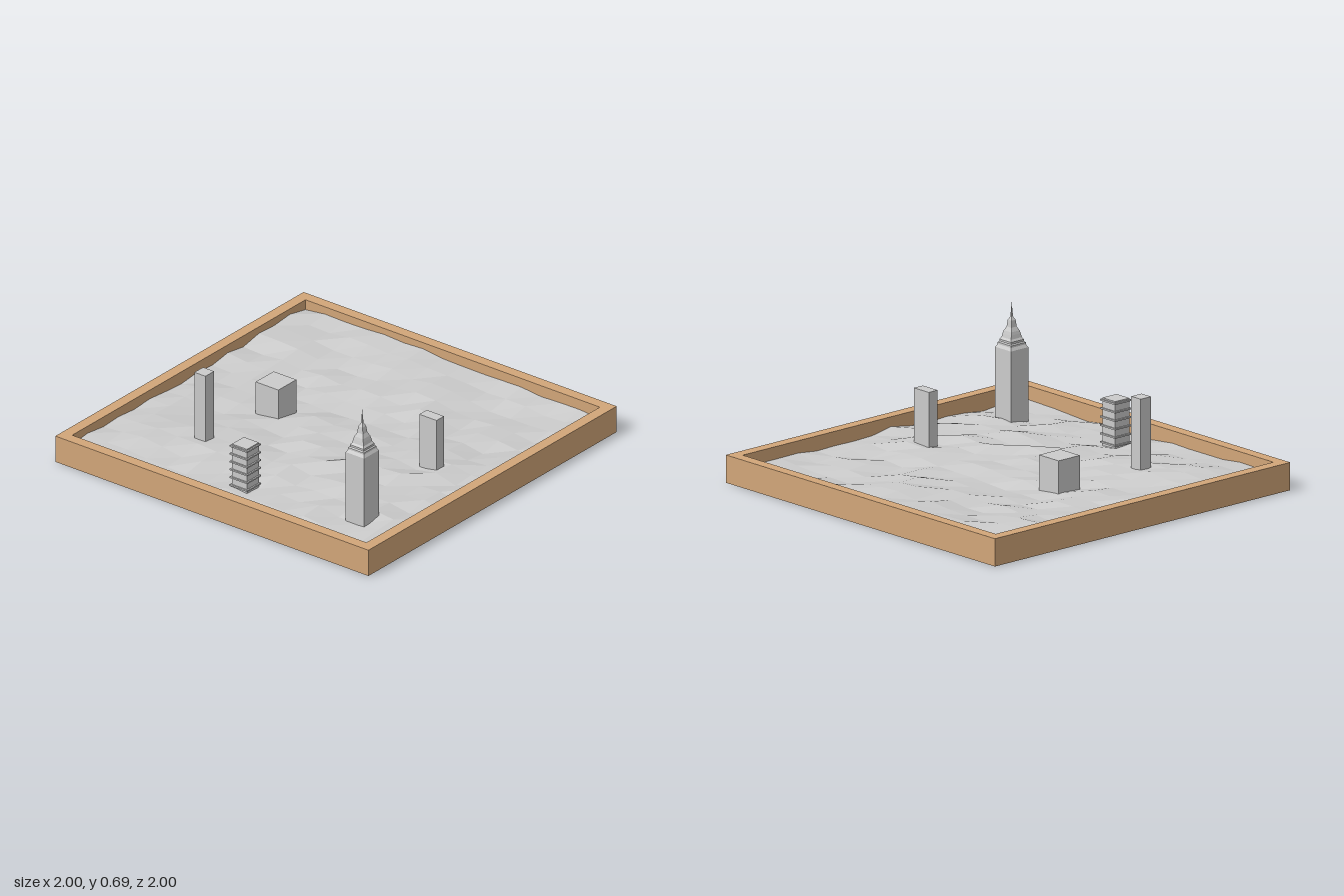
import * as THREE from 'three';

const wood = new THREE.MeshStandardMaterial({ color: 0xd2a679, flatShading: true });
const grey = new THREE.MeshStandardMaterial({ color: 0xcccccc, flatShading: true });
const ground = new THREE.MeshStandardMaterial({ color: 0xcccccc, flatShading: true, side: THREE.DoubleSide });

const FRAME_H = 0.145, INNER = 0.94, FOOT = 0.03;

function part(parent, name, geometry, material, x = 0, y = 0, z = 0) {
  const mesh = new THREE.Mesh(geometry, material);
  mesh.name = name;
  mesh.position.set(x, y, z);
  parent.add(mesh);
  return mesh;
}

// Box given by its footprint and its bottom and top heights
function block(parent, name, x, z, w, d, y0, y1, material = grey) {
  return part(parent, name, new THREE.BoxGeometry(w, y1 - y0, d), material, x, (y0 + y1) / 2, z);
}

// Four-sided stepped solid from [half width, height] pairs
function squareLathe(profile) {
  const pts = profile.map(([r, y]) => new THREE.Vector2(r * Math.SQRT2, y));
  return new THREE.LatheGeometry(pts, 4, Math.PI / 4);
}

function seeded(seed) {
  return () => {
    seed = (seed * 16807) % 2147483647;
    return seed / 2147483647;
  };
}

// Wooden tray: square rim with a closed floor
function buildTray(parent) {
  const shape = new THREE.Shape();
  shape.moveTo(-1, -1).lineTo(1, -1).lineTo(1, 1).lineTo(-1, 1).closePath();
  const hole = new THREE.Path();
  hole.moveTo(-INNER, -INNER).lineTo(-INNER, INNER).lineTo(INNER, INNER).lineTo(INNER, -INNER).closePath();
  shape.holes.push(hole);
  const rim = new THREE.ExtrudeGeometry(shape, { depth: FRAME_H, bevelEnabled: false });
  rim.rotateX(-Math.PI / 2);
  part(parent, 'trayRim', rim, wood);
  block(parent, 'trayFloor', 0, 0, 2 * INNER, 2 * INNER, 0, 0.02, wood);
}

// Faceted rolling ground, 15 by 15 cells, rising towards the back left of the tray
function buildTerrain(parent) {
  const geometry = new THREE.PlaneGeometry(2 * INNER, 2 * INNER, 15, 15);
  geometry.rotateX(-Math.PI / 2);
  const random = seeded(4711);
  const p = geometry.attributes.position;
  for (let i = 0; i < p.count; i++) {
    const x = p.getX(i), z = p.getZ(i);
    const rise = 0.012 * (-x - z) / 2;
    const hills = 0.012 * Math.sin(4.2 * z + 1.3 * x) + 0.008 * Math.sin(5.1 * x - 2 * z);
    const jitter = 0.03 * (random() - 0.5);
    p.setY(i, THREE.MathUtils.clamp(0.083 + rise + hills + jitter, 0.035, 0.138));
  }
  geometry.computeVertexNormals();
  part(parent, 'terrain', geometry, ground);
}

// Tall tower with stepped crown and spire
function buildSpireTower(parent) {
  const tower = new THREE.Group();
  tower.name = 'spireTower';
  tower.position.set(0.675, 0, 0.64);
  block(tower, 'towerBody', 0, 0, 0.118, 0.118, FOOT, 0.453);
  part(tower, 'towerCrown', squareLathe([
    [0.059, 0.453], [0.05, 0.468], [0.05, 0.478], [0.044, 0.484], [0.044, 0.494],
    [0.036, 0.505], [0.032, 0.525], [0.028, 0.54], [0.018, 0.56], [0.014, 0.595],
    [0.005, 0.612], [0.003, 0.64], [0, 0.69],
  ]), grey);
  parent.add(tower);
}

// Block with a thin projecting ledge at each storey
function buildLedgedTower(parent) {
  const tower = new THREE.Group();
  tower.name = 'ledgedTower';
  tower.position.set(0, 0, 0.73);
  block(tower, 'ledgedBody', 0, 0, 0.096, 0.096, FOOT, 0.317);
  for (let i = 0; i < 6; i++) {
    const y = 0.306 - i * 0.044;
    block(tower, 'ledge', 0, 0, 0.112, 0.112, y - 0.004, y + 0.004);
  }
  parent.add(tower);
}

export function createModel() {
  const model = new THREE.Group();
  model.name = 'cityTray';
  buildTray(model);
  buildTerrain(model);
  buildSpireTower(model);
  buildLedgedTower(model);
  block(model, 'lowBlock', -0.385, -0.002, 0.145, 0.145, FOOT, 0.248);
  block(model, 'slimTower', -0.457, 0.485, 0.07, 0.07, FOOT, 0.473);
  block(model, 'slabTower', 0.611, 0, 0.11, 0.06, FOOT, 0.375);
  return model;
}
